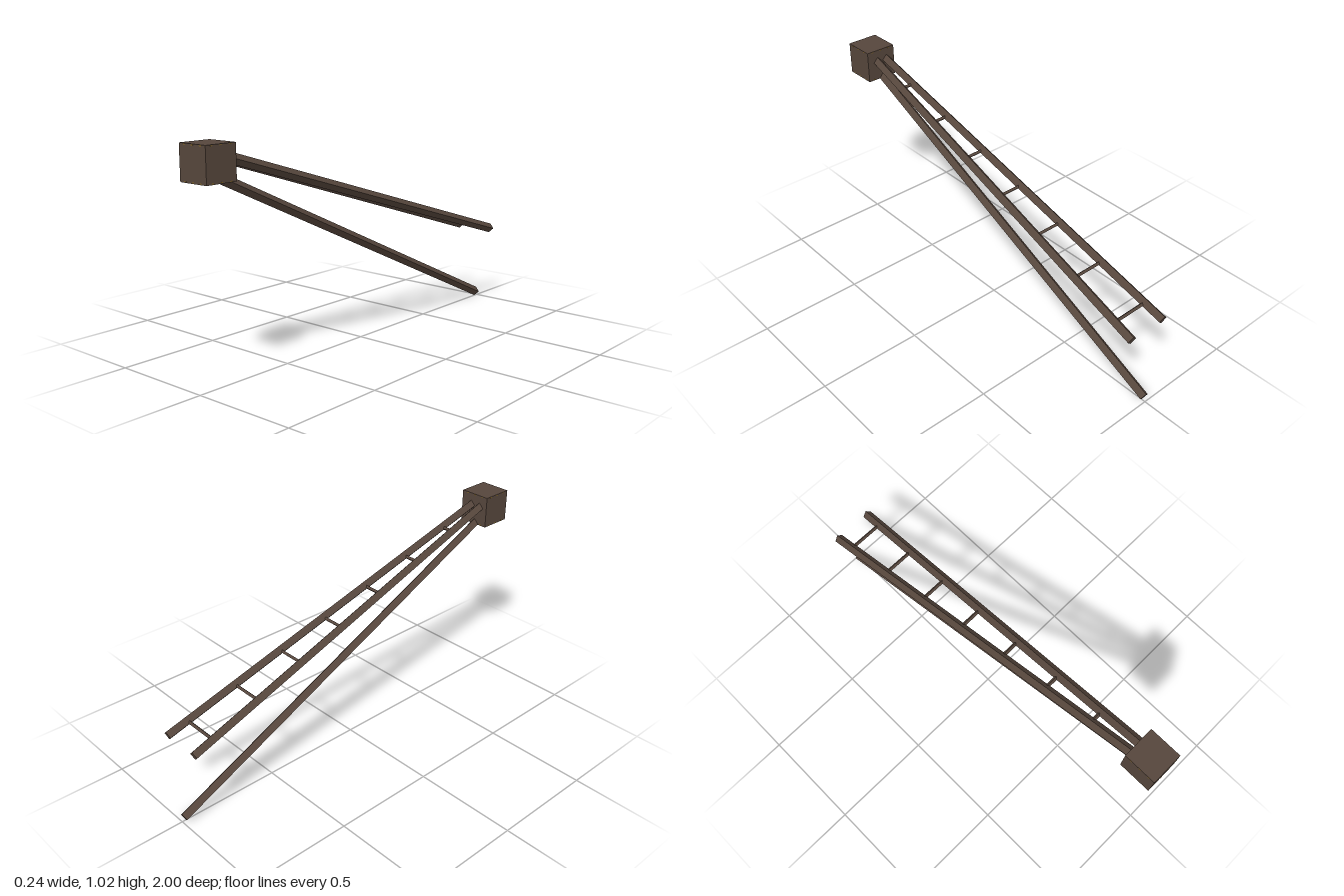
import * as THREE from 'three';

const wood = new THREE.MeshStandardMaterial({ name: 'darkWood', color: 0x56463c, flatShading: true });
const trim = new THREE.MeshStandardMaterial({ name: 'dullGold', color: 0x8a6a1e });

const UP = new THREE.Vector3(0, 1, 0);

// Square bar between two points, set on edge like a diamond
function bar(name, a, b, radius) {
  const dir = b.clone().sub(a);
  const mesh = new THREE.Mesh(new THREE.CylinderGeometry(radius, radius, dir.length(), 4), wood);
  dir.normalize();
  const side = dir.clone().cross(UP).normalize();
  const normal = side.clone().cross(dir);
  mesh.quaternion.setFromRotationMatrix(new THREE.Matrix4().makeBasis(side, dir, normal));
  mesh.position.copy(a).add(b).multiplyScalar(0.5);
  mesh.name = name;
  return mesh;
}

// Point on a ladder rail at depth z, s = -1 or 1
const railPoint = (s, z) => new THREE.Vector3(
  -0.001 + s * (0.096 - 0.0385 * (z + 0.967)),
  0.397 + 0.308 * (z + 0.967),
  z
);

export function createModel() {
  const model = new THREE.Group();
  model.name = 'ladderWithBlock';

  // Block at the upper end
  const size = 0.155;
  const head = new THREE.Group();
  head.name = 'headBlock';
  head.position.set(0.005, 0.9395, 0.9225);
  const block = new THREE.Mesh(new THREE.BoxGeometry(size, size, size), wood);
  block.name = 'block';
  head.add(block);

  // Tiny gilt marks along the upper and lower edges of each side
  for (let i = 0; i < 4; i++) {
    const face = new THREE.Group();
    face.name = 'edgeMarks';
    face.rotation.y = i * Math.PI / 2;
    for (const y of [-0.073, 0.073]) {
      for (const x of [-0.047, 0, 0.047]) {
        const mark = new THREE.Mesh(new THREE.BoxGeometry(0.012, 0.003, 0.001), trim);
        mark.name = 'edgeMark';
        mark.position.set(x, y, size / 2);
        face.add(mark);
      }
    }
    head.add(face);
  }
  model.add(head);

  // Two rails that spread towards the back
  for (const s of [-1, 1]) {
    model.add(bar(s < 0 ? 'rightRail' : 'leftRail', railPoint(s, 0.9), railPoint(s, -0.967), 0.0235));
  }

  // Rungs
  for (let i = 0; i < 7; i++) {
    const z = -0.865 + i * 0.251;
    model.add(bar('rung', railPoint(-1, z), railPoint(1, z), 0.009));
  }

  // Single prop leg beneath
  model.add(bar('propLeg',
    new THREE.Vector3(-0.003, 0.893, 0.91),
    new THREE.Vector3(-0.003, 0.021, -0.99), 0.0235));

  return model;
}
